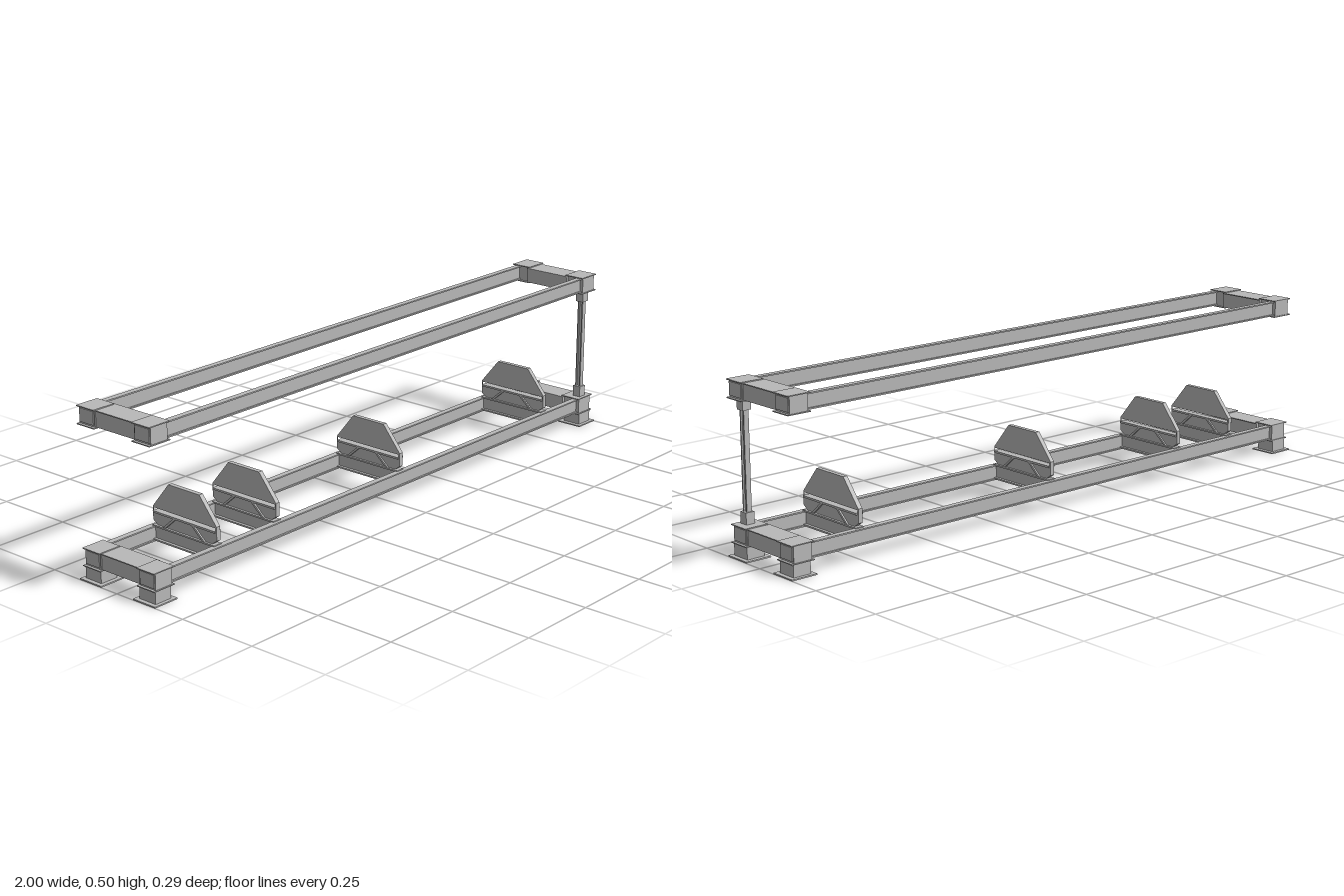
import * as THREE from 'three';

export function createModel() {
  const model = new THREE.Group();
  model.name = 'supportFrame';
  const steel = new THREE.MeshStandardMaterial({ color: 0xb8b8b8 });
  steel.name = 'grey steel';

  // Box given by its min and max along each axis
  function box(parent, name, x0, x1, y0, y1, z0, z1) {
    const m = new THREE.Mesh(new THREE.BoxGeometry(x1 - x0, y1 - y0, z1 - z0), steel);
    m.position.set((x0 + x1) / 2, (y0 + y1) / 2, (z0 + z1) / 2);
    m.name = name;
    parent.add(m);
    return m;
  }

  // Box whose x and z ranges are mirrored by the signs sx, sz
  function mirrored(parent, name, sx, sz, x0, x1, y0, y1, z0, z1) {
    const m = box(parent, name, x0, x1, y0, y1, z0, z1);
    m.position.x *= sx;
    m.position.z *= sz;
  }

  // Plate with a (z, y) outline, centred on x = 0
  function plate(parent, name, points, thickness, hole) {
    const toShape = (pts, C) => new C(pts.map(([z, y]) => new THREE.Vector2(-z, y)));
    const shape = toShape(points, THREE.Shape);
    if (hole) shape.holes.push(toShape(hole, THREE.Path));
    const geo = new THREE.ExtrudeGeometry(shape, { depth: thickness, bevelEnabled: false });
    geo.translate(0, 0, -thickness / 2);
    geo.rotateY(Math.PI / 2);
    const m = new THREE.Mesh(geo, steel);
    m.name = name;
    parent.add(m);
  }

  // Rectangular frame: two long I-beams, two end beams, four corner blocks
  function frame(name, y) {
    const g = new THREE.Group();
    g.name = name;
    for (const s of [-1, 1]) {
      mirrored(g, 'longBeamWeb', 1, s, -0.93, 0.93, y + 0.004, y + 0.046, 0.118, 0.125);
      for (const fy of [0.003, 0.045])
        mirrored(g, 'longBeamFlange', 1, s, -0.93, 0.93, y + fy, y + fy + 0.004, 0.112, 0.131);
      mirrored(g, 'endBeam', s, 1, 0.916, 0.982, y + 0.002, y + 0.047, -0.078, 0.078);
      mirrored(g, 'endBeamTop', s, 1, 0.912, 0.985, y + 0.047, y + 0.05, -0.078, 0.078);
      for (const t of [-1, 1]) {
        mirrored(g, 'cornerBlock', s, t, 0.925, 0.985, y + 0.002, y + 0.05, 0.075, 0.136);
        mirrored(g, 'cornerFacePlate', s, t, 0.985, 0.988, y + 0.007, y + 0.046, 0.079, 0.133);
        for (const py of [-0.001, 0.05])
          mirrored(g, 'cornerPlate', s, t, 0.918, 0.993, y + py, y + py + 0.003, 0.072, 0.139);
      }
    }
    model.add(g);
  }
  frame('lowerFrame', 0.041);
  frame('upperFrame', 0.449);

  // Legs on wide base plates
  for (const s of [-1, 1]) for (const t of [-1, 1]) {
    mirrored(model, 'leg', s, t, 0.93, 0.987, 0.004, 0.042, 0.075, 0.136);
    mirrored(model, 'basePlate', s, t, 0.917, 1, 0, 0.004, 0.062, 0.147);
  }

  // Single I-section column with end blocks
  const column = new THREE.Group();
  column.name = 'column';
  box(column, 'columnWeb', 0.952, 0.958, 0.12, 0.42, 0.106, 0.121);
  for (const z of [0.104, 0.119])
    box(column, 'columnFlange', 0.947, 0.963, 0.12, 0.42, z, z + 0.004);
  box(column, 'columnFoot', 0.941, 0.969, 0.093, 0.128, 0.1, 0.127);
  box(column, 'columnHead', 0.941, 0.969, 0.415, 0.449, 0.1, 0.127);
  model.add(column);

  // Cross bars carrying upright slotted saddles
  for (const x of [-0.735, -0.5, 0.036, 0.75]) {
    const g = new THREE.Group();
    g.name = 'saddle';
    box(g, 'crossBarWeb', -0.005, 0.005, 0.05, 0.09, -0.12, 0.12);
    for (const y of [0.046, 0.088])
      box(g, 'crossBarFlange', -0.014, 0.014, y, y + 0.005, -0.12, 0.12);
    // Head and lower web in one outline with a long slot between them
    plate(g, 'saddlePlate', [
      [-0.107, 0.093], [0.107, 0.093], [0.124, 0.105], [0.124, 0.146],
      [0.06, 0.224], [-0.06, 0.224], [-0.124, 0.146], [-0.124, 0.105],
    ], 0.014, [[-0.12, 0.134], [0.12, 0.134], [0.12, 0.142], [-0.12, 0.142]]);
    box(g, 'saddleShelf', -0.012, 0.012, 0.128, 0.134, -0.12, 0.12);
    // Slanted ribs below the shelf
    for (const s of [-1, 1])
      plate(g, 'slantedRib', [
        [s * 0.03, 0.129], [s * 0.04, 0.129], [s * 0.081, 0.093], [s * 0.071, 0.093],
      ], 0.024);
    g.position.x = x;
    model.add(g);
  }
  return model;
}
